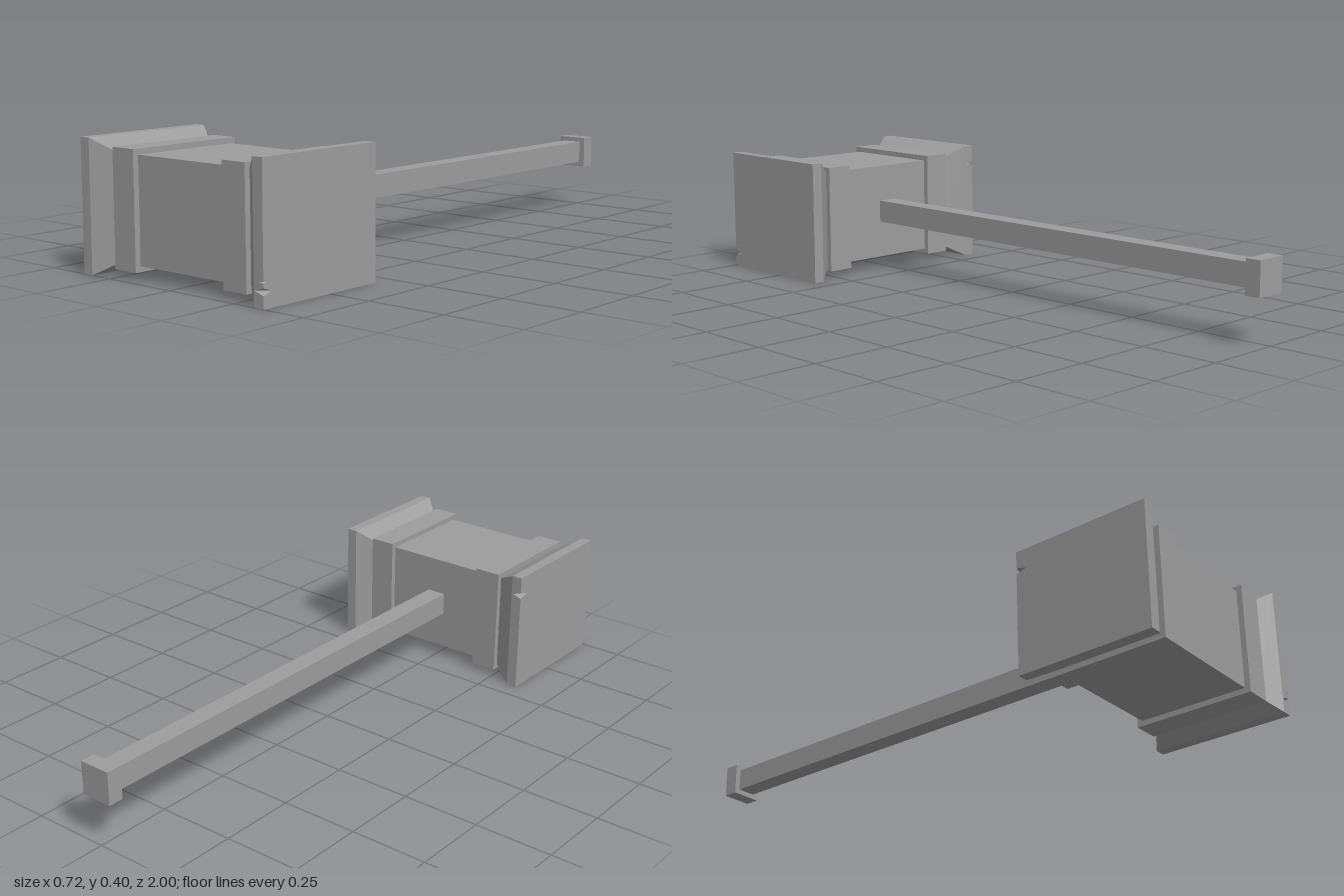
import * as THREE from 'three';
import { mergeGeometries } from 'three/addons/utils/BufferGeometryUtils.js';

const MID_Y = 0.1975, MID_Z = 0.78;
const CAP = { x: 0.0175, y: 0.1975, z: 0.22 }; // half sizes of a striking face
const material = new THREE.MeshStandardMaterial({ color: 0x9d9d9d, flatShading: true, side: THREE.DoubleSide });

function addMesh(parent, name, geometry) {
  const mesh = new THREE.Mesh(geometry, material);
  mesh.name = name;
  parent.add(mesh);
  return mesh;
}

// Box given by its lower and upper bounds on each axis
function addBox(parent, name, [x0, x1], [y0, y1], [z0, z1]) {
  const mesh = addMesh(parent, name, new THREE.BoxGeometry(x1 - x0, y1 - y0, z1 - z0));
  mesh.position.set((x0 + x1) / 2, (y0 + y1) / 2, (z0 + z1) / 2);
}

// Box whose inner end shrinks to meet the head body
function addFlare(parent, name, inner, outer) {
  const g = new THREE.BoxGeometry(Math.abs(outer - inner), CAP.y * 2, CAP.z * 2);
  const p = g.attributes.position, side = Math.sign(outer);
  for (let i = 0; i < p.count; i++) {
    if (p.getX(i) * side < 0) {
      p.setY(i, Math.sign(p.getY(i)) * 0.1575);
      p.setZ(i, Math.sign(p.getZ(i)) * 0.176);
    }
  }
  g.computeVertexNormals();
  addMesh(parent, name, g).position.set((inner + outer) / 2, MID_Y, MID_Z);
}

// Slab with V-shaped chips along its +x +z edge; chip = [y, half height, depth in x, depth in z]
function chippedSlab(chips) {
  const { x, y, z } = CAP;
  // rectangle notched on its right (dir 1) or left (dir -1) edge
  const face = (half, depthIndex, dir) => {
    const s = new THREE.Shape();
    s.moveTo(-dir * half, -y);
    s.lineTo(dir * half, -y);
    for (const c of chips) {
      s.lineTo(dir * half, c[0] - c[1]);
      s.lineTo(dir * (half - c[depthIndex]), c[0]);
      s.lineTo(dir * half, c[0] + c[1]);
    }
    s.lineTo(dir * half, y);
    s.lineTo(-dir * half, y);
    return new THREE.ShapeGeometry(s);
  };
  const parts = [
    face(x, 2, 1).translate(0, 0, z),
    face(z, 3, -1).rotateY(Math.PI / 2).translate(x, 0, 0),
    new THREE.PlaneGeometry(2 * x, 2 * y).rotateY(Math.PI).translate(0, 0, -z),
    new THREE.PlaneGeometry(2 * z, 2 * y).rotateY(-Math.PI / 2).translate(-x, 0, 0),
    new THREE.PlaneGeometry(2 * x, 2 * z).rotateX(-Math.PI / 2).translate(0, y, 0),
    new THREE.PlaneGeometry(2 * x, 2 * z).rotateX(Math.PI / 2).translate(0, -y, 0),
  ].map((g) => g.toNonIndexed());
  // two inner facets of every chip
  for (const [cy, h, dx, dz] of chips) {
    const a = [x - dx, cy, z], b = [x, cy, z - dz];
    const g = new THREE.BufferGeometry();
    g.setAttribute('position', new THREE.Float32BufferAttribute(
      [...a, ...b, x, cy + h, z, ...b, ...a, x, cy - h, z], 3));
    parts.push(g);
  }
  parts.forEach((g) => { g.deleteAttribute('uv'); g.computeVertexNormals(); });
  return mergeGeometries(parts);
}

export function createModel() {
  const model = new THREE.Group();
  model.name = 'mallet';

  // Head: block, bands and flared ends
  const head = new THREE.Group();
  head.name = 'head';
  model.add(head);
  addBox(head, 'headBlock', [-0.254, 0.271], [0.04, 0.355], [0.604, 0.956]);
  addBox(head, 'rightBand', [-0.254, -0.167], [0.023, 0.372], [0.586, 0.974]);
  addBox(head, 'leftBand', [0.185, 0.271], [0.023, 0.372], [0.586, 0.974]);
  addFlare(head, 'rightFlare', -0.254, -0.325);
  addFlare(head, 'leftFlare', 0.271, 0.325);

  // Striking faces, the right one turned to the opposite corner
  const left = addMesh(head, 'leftFace', chippedSlab([[-0.152, 0.01, 0.034, 0.03], [-0.127, 0.003, 0.014, 0.015]]));
  left.position.set(0.3425, MID_Y, MID_Z);
  const right = addMesh(head, 'rightFace', chippedSlab([[0.135, 0.01, 0.03, 0.035]]));
  right.rotation.y = Math.PI;
  right.position.set(-0.3425, MID_Y, MID_Z);

  // Handle with its end knob
  addBox(model, 'handle', [-0.026, 0.038], [0.162, 0.235], [-0.96, 0.62]);
  addBox(model, 'handleKnob', [-0.045, 0.058], [0.145, 0.25], [-1, -0.951]);
  return model;
}
